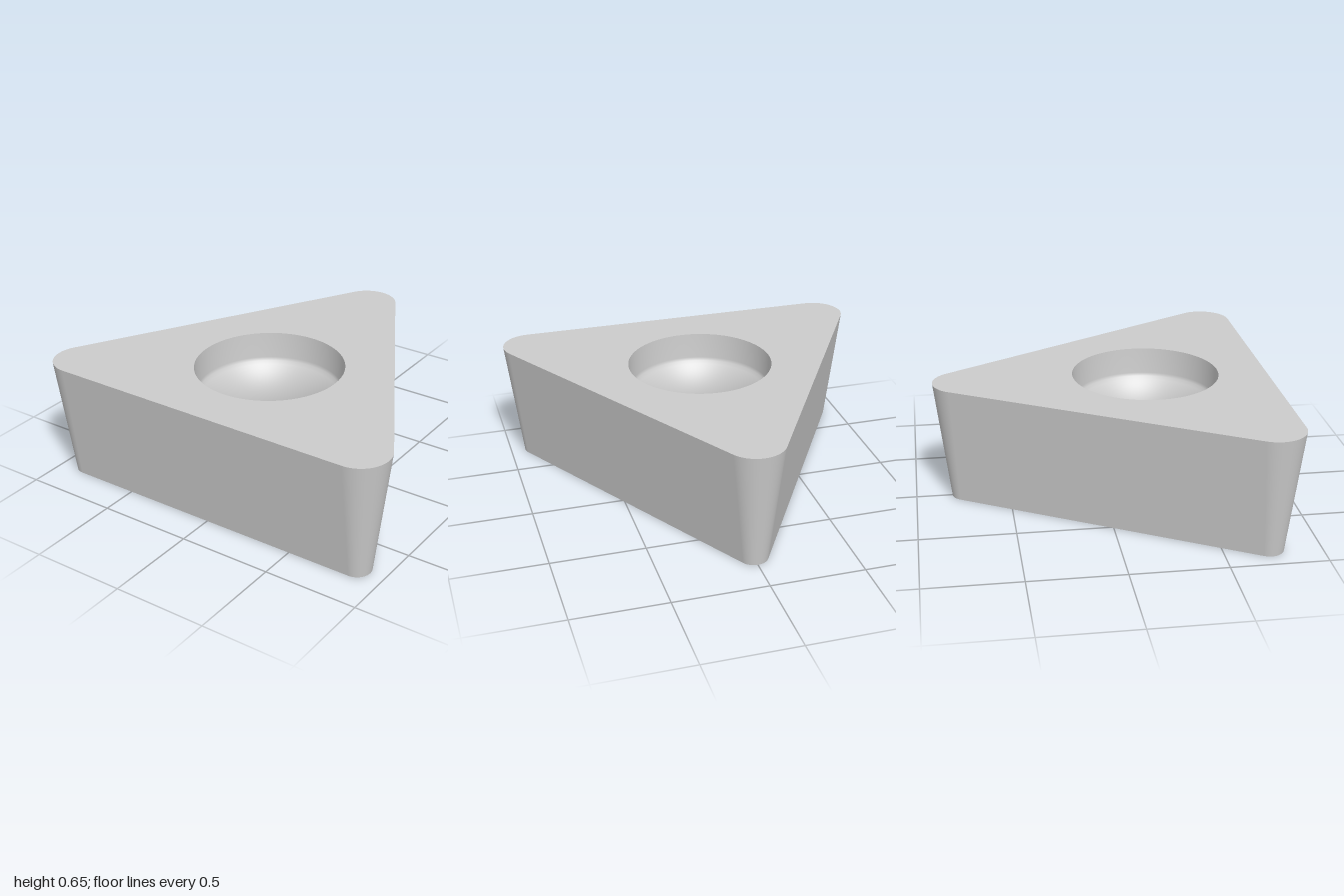
import * as THREE from 'three';

const HEIGHT = 0.65;
const CORNER = 0.843;            // half spacing of the corner arc centres
const R_TOP = 0.157, R_BOTTOM = 0.077; // corner radii, giving the tapered flanks
const CENTRE_Z = 0.243;          // centroid of the triangle
const HOLE_TOP = 0.39, HOLE_BOTTOM = 0.285;
const ARC_STEPS = 24, HOLE_STEPS = 96;

// Rounded triangle around the centroid: three 120 degree arcs
function outline(radius) {
  const points = [];
  for (const corner of [-90, 30, 150]) {
    const c = THREE.MathUtils.degToRad(corner);
    const reach = CORNER * 2 / Math.sqrt(3);
    for (let i = 0; i <= ARC_STEPS; i++) {
      const t = c + (i / ARC_STEPS - 0.5) * Math.PI * 2 / 3;
      points.push({
        x: reach * Math.cos(c) + radius * Math.cos(t),
        z: reach * Math.sin(c) + radius * Math.sin(t),
        nx: Math.cos(t), nz: Math.sin(t),
      });
    }
  }
  return points;
}

// Tapered wall between the bottom and top outlines
function flankGeometry() {
  const low = outline(R_BOTTOM), high = outline(R_TOP);
  const position = [], normal = [], index = [];
  const tilt = Math.atan2(R_TOP - R_BOTTOM, HEIGHT);
  const n = low.length;
  for (let i = 0; i < n; i++) {
    position.push(low[i].x, 0, low[i].z, high[i].x, HEIGHT, high[i].z);
    for (let k = 0; k < 2; k++) {
      normal.push(low[i].nx * Math.cos(tilt), -Math.sin(tilt), low[i].nz * Math.cos(tilt));
    }
    const a = 2 * i, b = 2 * ((i + 1) % n);
    index.push(a, a + 1, b, a + 1, b + 1, b);
  }
  const geometry = new THREE.BufferGeometry();
  geometry.setAttribute('position', new THREE.Float32BufferAttribute(position, 3));
  geometry.setAttribute('normal', new THREE.Float32BufferAttribute(normal, 3));
  geometry.setIndex(index);
  return geometry;
}

// Flat face with a round hole; side is +1 for the top, -1 for the bottom
function faceGeometry(radius, holeRadius, side) {
  const shape = new THREE.Shape(outline(radius).map(p => new THREE.Vector2(p.x, -side * p.z)));
  const hole = new THREE.Path();
  hole.absarc(0, 0, holeRadius, 0, Math.PI * 2, true);
  shape.holes.push(hole);
  return new THREE.ShapeGeometry(shape, HOLE_STEPS / 2).rotateX(-side * Math.PI / 2);
}

// Screw hole: steep upper wall, curved seat, straight lower bore
function holeGeometry() {
  const points = [new THREE.Vector2(HOLE_TOP, HEIGHT), new THREE.Vector2(0.381, 0.51)];
  const seatRadius = 0.32, seatEnd = 0.27;
  for (let i = 0; i <= 12; i++) {
    const a = THREE.MathUtils.degToRad(44) * (1 - i / 12);
    points.push(new THREE.Vector2(
      HOLE_BOTTOM + seatRadius * (1 - Math.cos(a)),
      seatEnd + seatRadius * Math.sin(a)));
  }
  points.push(new THREE.Vector2(HOLE_BOTTOM, 0));
  return new THREE.LatheGeometry(points, HOLE_STEPS);
}

export function createModel() {
  const group = new THREE.Group();
  group.name = 'triangularInsert';
  const material = new THREE.MeshStandardMaterial({ color: 0xcccccc });
  const add = (name, geometry, y = 0) => {
    const mesh = new THREE.Mesh(geometry, material);
    mesh.name = name;
    mesh.position.set(0, y, CENTRE_Z);
    group.add(mesh);
  };
  add('flanks', flankGeometry());
  add('topFace', faceGeometry(R_TOP, HOLE_TOP, 1), HEIGHT);
  add('bottomFace', faceGeometry(R_BOTTOM, HOLE_BOTTOM, -1));
  add('screwHole', holeGeometry());
  return group;
}
